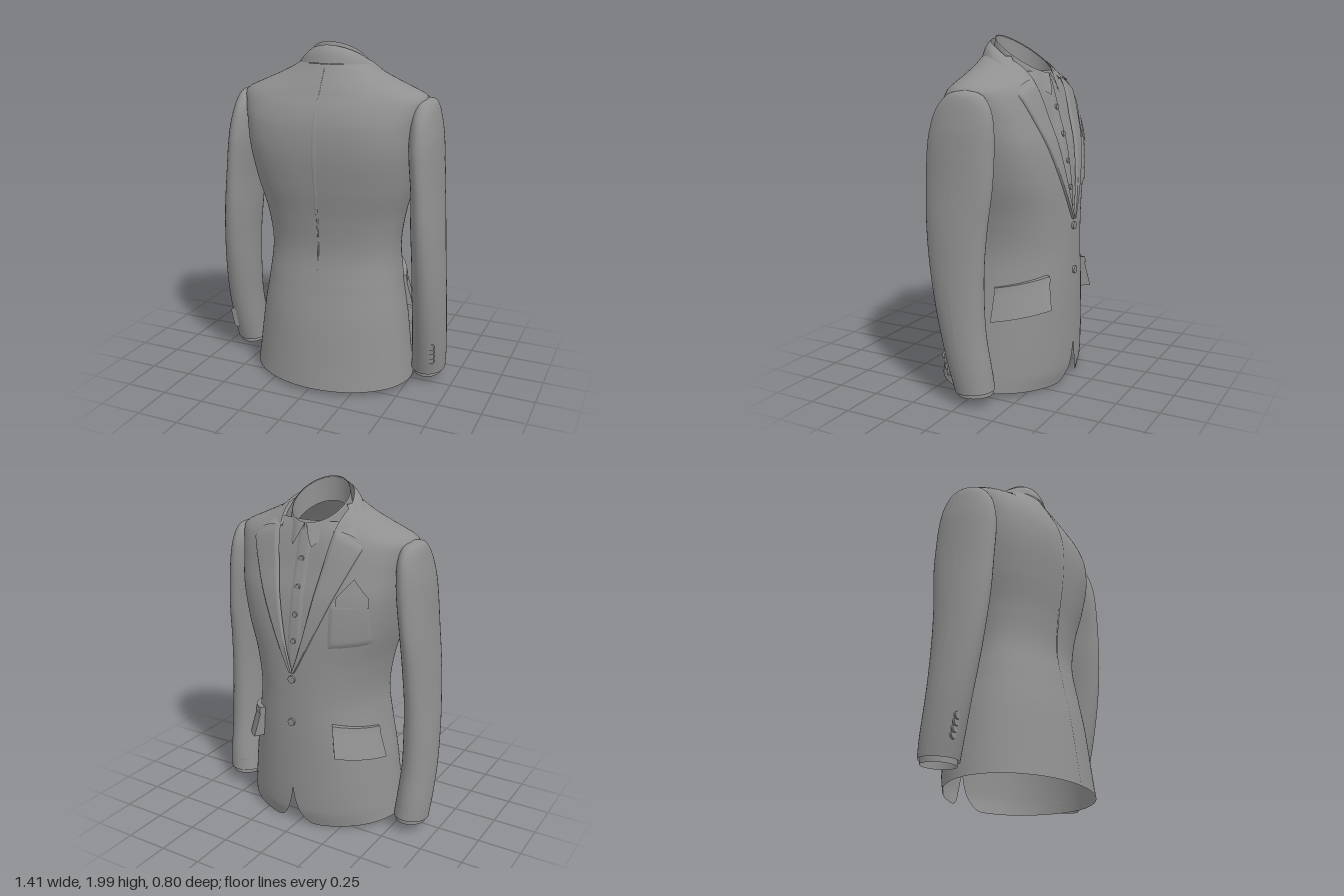
import * as THREE from 'three';
import { toCreasedNormals } from 'three/addons/utils/BufferGeometryUtils.js';

const CX = 0.02, ZM = 0.03, TAU = Math.PI * 2;
const { min, max, abs, sin, cos, sign, sqrt } = Math;
const lerp = THREE.MathUtils.lerp;
const clamp = THREE.MathUtils.clamp;

// torso sections: height, half width, front z, back z, roundness
const TORSO = [
  [0, 0.492, -0.36, 0.4, 2], [0.1, 0.48, -0.383, 0.387, 2], [0.4, 0.44, -0.388, 0.345, 2.1],
  [0.6, 0.405, -0.387, 0.305, 2.2], [0.8, 0.385, -0.382, 0.272, 2.2], [1.0, 0.41, -0.375, 0.283, 2.3],
  [1.2, 0.46, -0.36, 0.312, 2.6], [1.4, 0.495, -0.328, 0.33, 2.9], [1.55, 0.515, -0.285, 0.32, 2.8],
  [1.65, 0.54, -0.26, 0.29, 2.4], [1.71, 0.545, -0.243, 0.26, 2.1], [1.74, 0.49, -0.234, 0.246, 2],
  [1.78, 0.4, -0.22, 0.225, 1.9], [1.83, 0.29, -0.195, 0.195, 1.9], [1.88, 0.2, -0.16, 0.168, 2]
];
// sleeve sections: height, centre x, half width, back z, front z
const SLEEVE = [
  [0.09, 0.595, 0.1, 0.055, -0.17], [0.2, 0.603, 0.1, 0.085, -0.158], [0.4, 0.61, 0.097, 0.135, -0.13],
  [0.6, 0.607, 0.095, 0.178, -0.12], [0.8, 0.6, 0.09, 0.21, -0.122], [1.0, 0.588, 0.088, 0.23, -0.138],
  [1.2, 0.575, 0.082, 0.236, -0.163], [1.4, 0.557, 0.085, 0.234, -0.168], [1.5, 0.55, 0.083, 0.22, -0.164],
  [1.6, 0.543, 0.072, 0.188, -0.148], [1.67, 0.54, 0.058, 0.135, -0.11], [1.7, 0.54, 0.038, 0.085, -0.065],
  [1.712, 0.54, 0.003, 0.012, 0.002]
];

// smooth interpolation of a section table at height y
function section(table, y) {
  const n = table.length - 1;
  let i = 0;
  while (i < n - 1 && y > table[i + 1][0]) i++;
  const a = table[i], b = table[i + 1], h = b[0] - a[0], t = clamp((y - a[0]) / h, 0, 1);
  const slope = (j, k) => {
    const p = table[max(0, j - 1)], q = table[min(n, j + 1)];
    return (q[k] - p[k]) / (q[0] - p[0]);
  };
  return a.map((v, k) => k === 0 ? y :
    (2 * t ** 3 - 3 * t * t + 1) * v + (3 * t * t - 2 * t ** 3) * b[k] +
    h * ((t ** 3 - 2 * t * t + t) * slope(i, k) + (t ** 3 - t * t) * slope(i + 1, k)));
}

// point on the torso; angle 0 is the buttoned side, off moves it outwards
function torso(angle, y, off = 0) {
  const [, w, zf, zb, n] = section(TORSO, y), s = sin(angle), c = cos(angle);
  const x = sign(s) * w * abs(s) ** (2 / n);
  const z = c > 0 ? (zf - ZM) * c ** (2 / n) : (zb - ZM) * abs(c) ** (2 / n);
  const r = off / (Math.hypot(x, z) || 1);
  return [CX + x * (1 + r), y, ZM + z * (1 + r)];
}
function angleAt(x, y) {
  const [, w, , , n] = section(TORSO, y);
  return sign(x) * Math.asin(min(1, abs(x) / w) ** (n / 2));
}
const onFront = (x, y, off) => torso(angleAt(x, y), y, off);

// half width of the opening: rounded hem corners, closed middle, V neck
function opening(y) {
  if (y < 0.28) return 0.14 * (1 - sqrt(1 - (1 - y / 0.28) ** 2));
  return y < 0.98 ? 0 : min(0.17 * ((y - 0.98) / 0.76) ** 0.8, section(TORSO, y)[1] * 0.85);
}

const material = new THREE.MeshStandardMaterial({ color: 0x909090, side: THREE.DoubleSide });

// grid surface from a rule f(u, v) -> [x, y, z]
function patch(name, nu, nv, f, crease = 0) {
  const pos = [], idx = [];
  for (let j = 0; j <= nv; j++) for (let i = 0; i <= nu; i++) {
    pos.push(...f(i / nu, j / nv));
    if (i < nu && j < nv) {
      const a = j * (nu + 1) + i, b = a + nu + 1;
      idx.push(a, b, a + 1, b, b + 1, a + 1);
    }
  }
  let g = new THREE.BufferGeometry();
  g.setAttribute('position', new THREE.Float32BufferAttribute(pos, 3));
  g.setIndex(idx);
  g.computeVertexNormals();
  if (crease) g = toCreasedNormals(g, crease);
  const m = new THREE.Mesh(g, material);
  m.name = name;
  return m;
}
const puff = (u, k = 14) => min(1, u * k, (1 - u) * k);

// raised cloth piece on the torso between two angles, closed at the ends
function slab(name, a0, a1, y0, y1, tilt, off0, off1) {
  const cross = [[y0, 0], [y0, off0], [y1, off1], [y1, 0]];
  return patch(name, 18, 3, (u, v) => {
    const t = clamp((u * 18 - 1) / 16, 0, 1), [y, off] = cross[Math.round(v * 3)];
    const end = u === 0 || u === 1;
    return torso(lerp(a0, a1, t), y + tilt * (1 - t), end ? 0 : off * (1.5 - 0.6 * t));
  }, 0.6);
}

function button(name, [x, y, z], r) {
  const m = new THREE.Mesh(new THREE.CylinderGeometry(r, r, 0.012, 16), material);
  m.name = name;
  m.rotation.x = Math.PI / 2;
  m.position.set(x, y, z);
  return m;
}

export function createModel() {
  const group = new THREE.Group();
  group.name = 'suitJacket';
  const add = (...m) => group.add(...m);

  // jacket body, open along the buttoned edge
  add(patch('jacketBody', 96, 110, (u, v) => {
    const y = 1.88 * v ** 1.3, a0 = angleAt(opening(y), y), a = lerp(a0, TAU - a0, u);
    const p = torso(a, y);
    p[1] += (0.008 + 0.022 * (1 - max(0, cos(a)) ** 2)) * (1 - v);
    return p;
  }));
  // centre back seam
  add(patch('backSeam', 2, 60, (u, v) => torso(Math.PI + lerp(-0.006, 0.006, u), lerp(0.04, 1.86, v), u === 0.5 ? 0.005 : 0)));

  // shirt front, placket and buttons
  add(patch('shirtFront', 24, 34, (u, v) => {
    const y = lerp(0.92, 1.8, v), w = opening(y) + 0.05;
    return onFront(lerp(-w, w, u), y, -0.014);
  }));
  add(patch('shirtPlacket', 6, 30, (u, v) => {
    const y = lerp(1.0, 1.75, v), w = min(0.042, opening(y) + 0.01);
    return onFront(lerp(-w, w, u), y, -0.014 + 0.006 * puff(u, 6));
  }));
  for (const y of [1.15, 1.3, 1.45, 1.6]) add(button('shirtButton', onFront(0, y, -0.005), 0.015));

  // shirt collar: inner stand folded over into a leaf with two points
  add(patch('shirtCollar', 72, 6, (u, v) => {
    const k = Math.round(v * 6), leaf = max(0, k - 2) / 4, start = 0.03 + 0.32 * leaf;
    const a = lerp(start, TAU - start, u), front = max(0, cos(a)) ** 6;
    const r = k === 0 ? 0.157 : 0.16 + 0.014 * leaf;
    const drop = k === 0 ? 0.14 : k === 1 ? 0.012 : leaf * (0.085 + 0.06 * front);
    return [CX + r * sin(a), 1.893 - 0.104 * cos(a) - drop, -0.06 - r * cos(a) - 0.055 * leaf * front];
  }));

  // jacket collar: strip between a fold line and a lower edge round the neck
  const loop = pts => {
    const half = pts.map(p => new THREE.Vector3(...p));
    const other = half.slice(1).reverse().map(p => new THREE.Vector3(-p.x, p.y, p.z));
    return new THREE.CatmullRomCurve3([...other, ...half]);
  };
  const foldLine = loop([[0, 1.98, 0.125], [0.11, 1.957, 0.09], [0.175, 1.9, -0.01], [0.182, 1.835, -0.1], [0.165, 1.755, -0.205]]);
  const lowerEdge = loop([[0, 1.883, 0.173], [0.13, 1.88, 0.135], [0.225, 1.862, 0.03], [0.285, 1.8, -0.085], [0.3, 1.73, -0.198]]);
  add(patch('jacketCollar', 60, 8, (u, v) => {
    const p = foldLine.getPoint(u).lerp(lowerEdge.getPoint(u), v), b = 0.01 * sin(Math.PI * v);
    return [p.x * (1 + b * 2) + CX, p.y + b, p.z + b * sign(p.z) * 0.5];
  }));
  // collar lining, closing the gap between fold and neckline
  add(patch('collarLining', 60, 2, (u, v) => {
    const p = foldLine.getPoint(u), w = 1 + 0.09 * v;
    return [p.x * w + CX, p.y - 0.09 * v, p.z + 0.02 * v];
  }));

  for (const s of [-1, 1]) {
    // notched lapel
    add(patch('lapel', 16, 40, (u, v) => {
      const yi = lerp(0.97, 1.77, v), yo = lerp(0.97, 1.69, v);
      const y = lerp(yi, yo, u), x = lerp(opening(yi), 0.015 + 0.335 * v ** 0.95, u);
      return onFront(s * x, y, 0.014 * puff(u) * min(1, (1 - v) * 40));
    }));
    // hip pocket: welt strip above a flared flap
    add(slab('pocketFlap', s * 0.58, s * 1.33, 0.44, 0.59, 0.06, 0.042, 0.02));
    add(slab('pocketWelt', s * 0.58, s * 1.33, 0.59, 0.625, 0.06, 0.025, 0.022));

    // sleeve
    const ring = (y, a, grow = 0) => {
      const [, cx, w, zb, zf] = section(SLEEVE, y);
      const lean = 0.018 * clamp((y - 0.4) / 1.2, 0, 1);
      return [s * (cx + (w + grow) * cos(a)) + lean, y, (zb + zf) / 2 + ((zb - zf) / 2 + grow) * sin(a)];
    };
    add(patch('sleeve', 40, 64, (u, v) => {
      const p = ring(0.09 + 1.622 * (1 - (1 - v) ** 1.6), u * TAU);
      p[1] -= 0.1 * (p[2] + 0.06) * max(0, 1 - v * 5);
      return p;
    }));
    // shirt cuff showing below the sleeve
    add(patch('shirtCuff', 40, 4, (u, v) => {
      const p = ring(0.14, u * TAU, -0.016);
      return [p[0] - s * 0.006, lerp(0.066, 0.17, v) - 0.1 * (p[2] + 0.06), p[2] - 0.012];
    }));
    // overlapping sleeve buttons
    for (let i = 0; i < 4; i++) {
      const p = ring(0.185 + 0.032 * i, 1.1);
      p[2] += 0.004;
      add(button('sleeveButton', p, 0.02));
    }
  }

  // chest pocket with folded square
  add(patch('chestPocket', 16, 14, (u, v) =>
    onFront(lerp(-0.41, -0.21, u), lerp(1.14, 1.39, v) + 0.02 * (1 - u), 0.01 * min(puff(u), puff(v)))));
  add(patch('pocketSquare', 12, 6, (u, v) => {
    const peak = 1.43 + 0.1 * (1 - abs(u - 0.5) / 0.5);
    return onFront(lerp(-0.4, -0.24, u), lerp(1.38, peak, v), 0.016);
  }));

  // closing buttons
  for (const y of [0.93, 0.67]) add(button('frontButton', onFront(0, y, 0.006), 0.022));
  return group;
}
